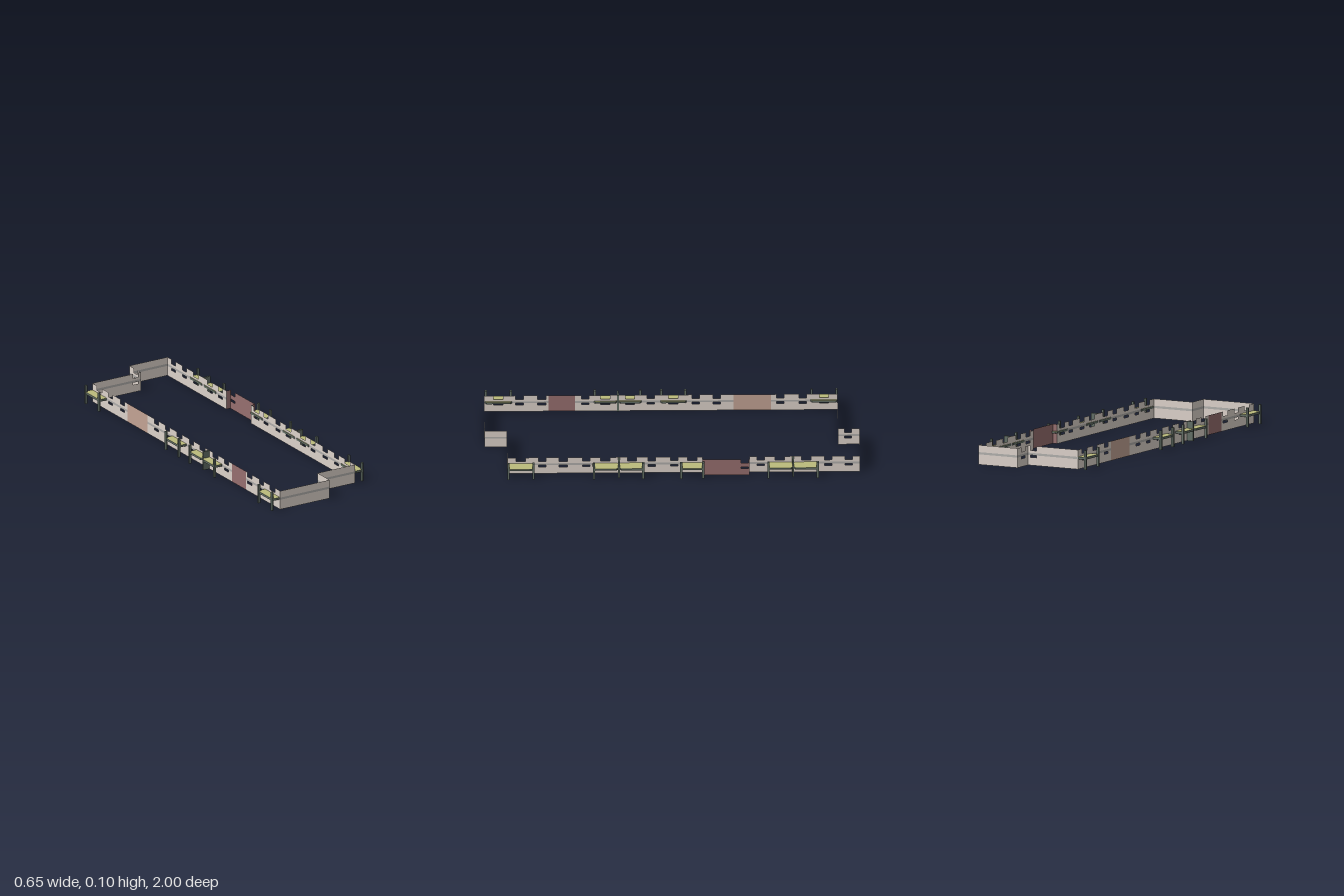
import * as THREE from 'three';

const H = 0.105, BAND_LOW = 0.055, BAND_TOP = 0.067;
const HEAD = 0.043, SILL = 0.08;
const mat = (color, side = THREE.DoubleSide) => {
  const m = new THREE.MeshStandardMaterial({ side });
  m.color.set(color);
  return m;
};

export function createModel() {
  const group = new THREE.Group();
  const wallMat = mat(0xdcd2ca), bandMat = mat(0xb0aeab), redMat = mat(0x966f6f);
  const peachMat = mat(0xc3a394), darkMat = mat(0x626e65), slabMat = mat(0xbcbc7c);

  const add = (name, geometry, material, parent = group) => {
    const mesh = new THREE.Mesh(geometry, material);
    mesh.name = name;
    parent.add(mesh);
    return mesh;
  };
  const box = (name, sx, sy, sz, x, y, z, material, parent) =>
    add(name, new THREE.BoxGeometry(sx, sy, sz), material, parent).position.set(x, y, z);

  // Flat strip with openings cut into its lower or upper edge
  function strip(length, low, high, notches, edge) {
    const s = new THREE.Shape();
    const atTop = edge > low;
    const base = atTop ? low : high, free = atTop ? high : low;
    s.moveTo(0, base);
    s.lineTo(0, free);
    for (const [a, b] of notches) {
      s.lineTo(a, free);
      s.lineTo(a, edge);
      s.lineTo(b, edge);
      s.lineTo(b, free);
    }
    s.lineTo(length, free);
    s.lineTo(length, base);
    return new THREE.ShapeGeometry(s);
  }

  // Wall sheet running from one plan point to another, outside on its right hand
  function wall(name, from, to, notches = [], material = wallMat) {
    const dx = to[0] - from[0], dz = to[1] - from[1], length = Math.hypot(dx, dz);
    const g = new THREE.Group();
    g.name = name;
    g.position.set(from[0], 0, from[1]);
    g.rotation.y = Math.atan2(-dz, dx);
    group.add(g);
    add('lowerStorey', strip(length, 0, BAND_LOW, notches, HEAD), material, g);
    add('upperStorey', strip(length, BAND_TOP, H, notches, SILL), material, g);
    add('floorBand', strip(length, BAND_LOW, BAND_TOP, [], BAND_TOP),
      material === wallMat ? bandMat : material, g);
  }

  // Side wall along z, openings given by their z ranges
  function sideWall(name, x, z0, z1, openings, material) {
    const cuts = openings.filter(([a, b]) => a > z0 && b < z1)
      .sort((p, q) => p[0] - q[0]).map(([a, b]) => [a - z0, b - z0]);
    wall(name, [x, z0], [x, z1], cuts, material);
  }

  // Balcony slab with cut corners and corner posts
  function balcony(side, z0, z1, postLow, postHigh) {
    const g = new THREE.Group();
    g.name = side > 0 ? 'leftBalcony' : 'rightBalcony';
    group.add(g);
    const c = 0.009, a = 0.267, b = 0.322;
    const s = new THREE.Shape([
      [a, z0 + c], [a + c, z0], [b - c, z0], [b, z0 + c],
      [b, z1 - c], [b - c, z1], [a + c, z1], [a, z1 - c],
    ].map(([x, z]) => new THREE.Vector2(side * x, -z)));
    const slab = new THREE.ExtrudeGeometry(s, { depth: BAND_TOP - BAND_LOW, bevelEnabled: false });
    slab.rotateX(-Math.PI / 2).translate(0, BAND_LOW, 0);
    add('balconySlab', slab, darkMat, g);
    const top = new THREE.ShapeGeometry(s);
    top.rotateX(-Math.PI / 2).translate(0, BAND_TOP + 0.0006, 0);
    add('balconyFloor', top, slabMat, g);
    const ends = [];
    if (postLow) ends.push(z0 + 0.006);
    if (postHigh) ends.push(z1 - 0.006);
    for (const z of ends) box('balconyPost', 0.012, H, 0.012, side * 0.319, H / 2, z, darkMat, g);
  }

  // Balconies: side, z range, posts at each end
  const balconies = [
    [1, -0.78, -0.647, 1, 0], [1, -0.64, -0.505, 0, 1], [1, -0.17, -0.04, 1, 1],
    [1, 0.15, 0.282, 1, 0], [1, 0.29, 0.425, 0, 1], [1, 0.735, 0.88, 1, 1],
    [-1, -0.885, -0.74, 1, 1], [-1, -0.08, 0.06, 1, 1],
    [-1, 0.16, 0.282, 1, 0], [-1, 0.29, 0.415, 0, 1], [-1, 0.85, 0.995, 1, 1],
  ];
  balconies.forEach((b) => balcony(...b));

  // Partitions between paired balconies
  for (const [side, z] of [[1, -0.643], [1, 0.286], [-1, 0.286]])
    box('balconyPartition', 0.043, H, 0.01, side * 0.2925, H / 2, z, darkMat);

  // Window and door openings
  const doors = (side) => balconies.filter((b) => b[0] === side)
    .map(([, a, b]) => [(a + b) / 2 - 0.025, (a + b) / 2 + 0.025]);
  const leftOpenings = [
    [-0.96, -0.92], [-0.85, -0.81], [-0.49, -0.45], [-0.405, -0.365], [-0.03, 0.01],
    [0.09, 0.13], [0.44, 0.48], [0.56, 0.605], [0.675, 0.715], ...doors(1),
  ];
  const rightOpenings = [
    [-0.72, -0.68], [-0.6, -0.56], [-0.26, -0.22], [-0.15, -0.11], [0.09, 0.13],
    [0.44, 0.48], [0.67, 0.715], [0.79, 0.83], ...doors(-1),
  ];

  // Left side, with a projecting bay
  const L = 0.27, R = -0.275, BAY = 0.295;
  sideWall('leftWallBack', L, -1, -0.41, leftOpenings);
  wall('bayReturn', [L, -0.41], [BAY, -0.41], [], redMat);
  sideWall('leftBay', BAY, -0.41, -0.16, leftOpenings, redMat);
  wall('bayReturn', [BAY, -0.16], [L, -0.16], [], redMat);
  sideWall('leftWallFront', L, -0.16, 0.88, leftOpenings);

  // Right side, with two coloured panels
  sideWall('rightWallBack', R, -0.885, -0.53, rightOpenings);
  sideWall('rightPalePanel', R, -0.53, -0.33, rightOpenings, peachMat);
  sideWall('rightWallMiddle', R, -0.33, 0.515, rightOpenings);
  sideWall('rightRedPanel', R, 0.515, 0.655, rightOpenings, redMat);
  sideWall('rightWallFront', R, 0.655, 1, rightOpenings);

  // Stepped end walls
  wall('frontWallRight', [R, 1], [0.035, 1]);
  wall('frontStep', [0.035, 1], [0.035, 0.88]);
  wall('frontWallLeft', [0.035, 0.88], [L, 0.88]);
  wall('backWallRight', [R, -0.885], [0.03, -0.885], [[0.255, 0.29]]);
  wall('backStep', [0.03, -1], [0.03, -0.885], [[0.045, 0.08]]);
  wall('backWallLeft', [0.03, -1], [L, -1]);

  return group;
}
